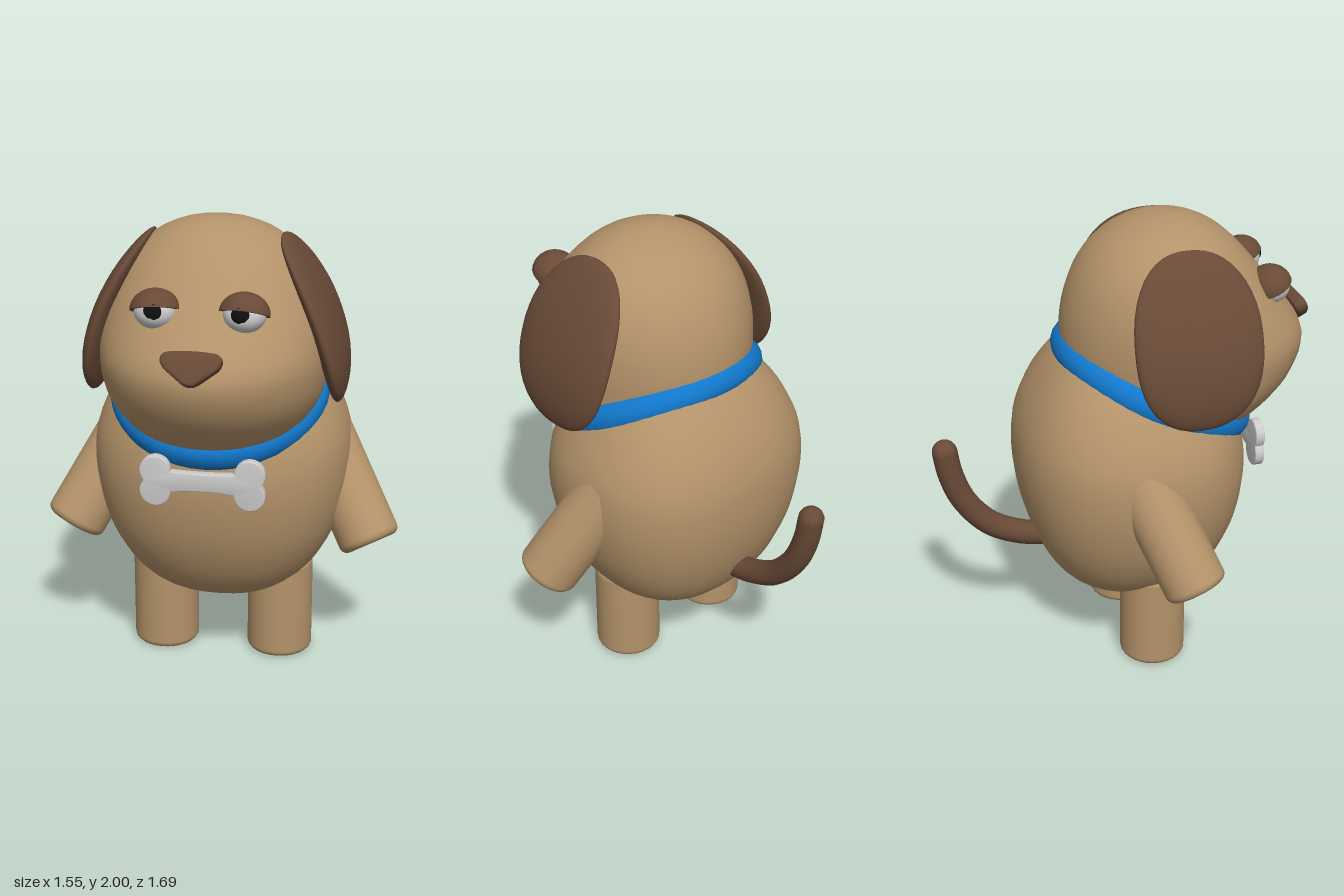
import * as THREE from 'three';
import { mergeVertices, toCreasedNormals } from 'three/addons/utils/BufferGeometryUtils.js';

const paint = (color) => new THREE.MeshStandardMaterial({ color });
const tan = paint(0xb4936a);
const brown = paint(0x694a37);
const blue = paint(0x1278cc);
const grey = paint(0xcccccc);
const white = paint(0xe8e8e8);
const black = paint(0x101010);

// Pushes a point of the unit circle out towards a rounded square
function squarer(u, v, power) {
  const k = Math.hypot(u, v) / ((Math.abs(u) ** power + Math.abs(v) ** power) ** (1 / power) || 1);
  return [u * k, v * k];
}

// Smooth closed form from rows of [y, front z, back z, half width], bottom to top
function loft(rows, power, steps = 33, sides = 40) {
  const size = new THREE.CatmullRomCurve3(rows.map(([y, f, b, w]) => new THREE.Vector3(w, y, (f - b) / 2)));
  const middle = new THREE.CatmullRomCurve3(rows.map(([y, f, b]) => new THREE.Vector3(0, y, (f + b) / 2)));
  const profile = Array.from({ length: steps + 1 }, (_, i) => new THREE.Vector2(1, i));
  let geo = new THREE.LatheGeometry(profile, sides);
  const p = geo.attributes.position;
  for (let i = 0; i < p.count; i++) {
    const t = Math.round(p.getY(i)) / steps;
    const s = size.getPoint(t);
    const [u, v] = squarer(p.getX(i), p.getZ(i), power);
    p.setXYZ(i, u * s.x, s.y, middle.getPoint(t).z + v * s.z);
  }
  geo.deleteAttribute('uv');
  geo.deleteAttribute('normal');
  geo = mergeVertices(geo, 1e-5);
  geo.computeVertexNormals();
  return geo;
}

// Cylinder along y with rounded rims, starting at y = 0
function roundedCylinder(radius, height, rim) {
  const pts = [new THREE.Vector2(0, 0)];
  for (let i = 0; i <= 5; i++) {
    const a = (i / 5) * Math.PI / 2;
    pts.push(new THREE.Vector2(radius - rim + rim * Math.sin(a), rim - rim * Math.cos(a)));
  }
  const top = pts.map((v) => new THREE.Vector2(v.x, height - v.y)).reverse();
  return new THREE.LatheGeometry([...pts, ...top], 28);
}

function extrude(shape, depth, bevel) {
  const geo = new THREE.ExtrudeGeometry(shape, {
    depth: depth - 2 * bevel, bevelThickness: bevel, bevelSize: bevel, bevelOffset: -bevel,
    bevelSegments: 3, curveSegments: 12,
  });
  geo.translate(0, 0, bevel - depth / 2);
  return toCreasedNormals(geo, 0.7);
}

export function createModel() {
  const model = new THREE.Group();
  const add = (name, geo, mat, x = 0, y = 0, z = 0, parent = model) => {
    const mesh = new THREE.Mesh(geo, mat);
    mesh.name = name;
    mesh.position.set(x, y, z);
    parent.add(mesh);
    return mesh;
  };

  // Barrel-shaped body and forward-leaning head
  add('body', loft([
    [0.26, 0.02, 0.02, 0], [0.28, 0.16, -0.12, 0.15], [0.35, 0.3, -0.25, 0.3],
    [0.45, 0.39, -0.345, 0.41], [0.6, 0.465, -0.415, 0.495], [0.75, 0.505, -0.455, 0.54],
    [0.9, 0.52, -0.472, 0.56], [1.05, 0.505, -0.465, 0.55], [1.2, 0.45, -0.42, 0.49],
    [1.35, 0.34, -0.335, 0.385], [1.45, 0.21, -0.24, 0.26], [1.53, 0, 0, 0],
  ], 2.35), tan);
  add('head', loft([
    [1.0, 0.2, 0.2, 0], [1.03, 0.4, 0.03, 0.2], [1.1, 0.55, -0.1, 0.33], [1.2, 0.67, -0.2, 0.41],
    [1.3, 0.75, -0.24, 0.455], [1.42, 0.795, -0.26, 0.472], [1.5, 0.78, -0.262, 0.472],
    [1.62, 0.695, -0.245, 0.455], [1.75, 0.59, -0.2, 0.41], [1.85, 0.505, -0.135, 0.345],
    [1.93, 0.415, -0.04, 0.25], [1.98, 0.31, 0.08, 0.135], [2.0, 0.2, 0.2, 0],
  ], 2), tan);

  // Wide collar band, tilted down at the front
  const ring = new THREE.TorusGeometry(0.42, 0.052, 14, 48);
  ring.rotateX(Math.PI / 2);
  const collar = add('collar', ring, blue, 0, 1.253, 0.135);
  collar.scale.set(1, 1.3, 1);
  collar.rotation.x = 0.46;

  // Bone-shaped tag
  const bone = new THREE.Shape();
  const lobe = 0.064, lx = 0.196, ly = 0.044, a = 0.758, PI = Math.PI;
  bone.moveTo(-lx + lobe, ly);
  bone.quadraticCurveTo(0, ly - 0.008, lx - lobe, ly);
  bone.absarc(lx, ly, lobe, PI, -a, true);
  bone.absarc(lx, -ly, lobe, a, -PI, true);
  bone.quadraticCurveTo(0, -ly + 0.016, -lx + lobe, -ly);
  bone.absarc(-lx, -ly, lobe, 0, -PI - a, true);
  bone.absarc(-lx, ly, lobe, a - PI, -2 * PI, true);
  add('boneTag', extrude(bone, 0.04, 0.004), grey, 0, 0.967, 0.56);

  // Rounded triangular nose
  const nose = new THREE.Shape();
  nose.moveTo(-0.09, 0.06);
  nose.quadraticCurveTo(0, 0.07, 0.09, 0.06);
  nose.bezierCurveTo(0.13, 0.055, 0.128, 0.015, 0.1, -0.01);
  nose.lineTo(0.035, -0.06);
  nose.quadraticCurveTo(0, -0.085, -0.035, -0.06);
  nose.lineTo(-0.1, -0.01);
  nose.bezierCurveTo(-0.128, 0.015, -0.13, 0.055, -0.09, 0.06);
  add('nose', extrude(nose, 0.056, 0.012), brown, 0, 1.525, 0.79).rotation.x = -0.5;

  // Upturned tail with a round tip
  const tailPath = new THREE.CatmullRomCurve3([
    [0.54, -0.36], [0.56, -0.46], [0.63, -0.6], [0.76, -0.71], [0.9, -0.765], [1.015, -0.785],
  ].map(([y, z]) => new THREE.Vector3(0, y, z)));
  add('tail', new THREE.TubeGeometry(tailPath, 28, 0.055, 16), brown);
  add('tailTip', new THREE.SphereGeometry(0.055, 16, 12), brown, 0, 1.015, -0.785);

  for (const s of [1, -1]) {
    const side = s > 0 ? 'left' : 'right';

    add(side + 'Leg', roundedCylinder(0.145, 0.45, 0.03), tan, s * 0.26, 0, 0.072);

    // Arm, built from the hand up into the shoulder
    const hand = new THREE.Vector3(s * 0.668, 0.562, 0.145);
    const along = new THREE.Vector3(s * 0.39, 1.06, -0.06).sub(hand);
    const arm = add(side + 'Arm', roundedCylinder(0.136, along.length(), 0.035), tan, ...hand);
    arm.quaternion.setFromUnitVectors(new THREE.Vector3(0, 1, 0), along.normalize());

    // Floppy ear: flat rounded disc bent around the head
    const ear = new THREE.SphereGeometry(1, 32, 24);
    const p = ear.attributes.position;
    for (let i = 0; i < p.count; i++) {
      const [t, v] = squarer(p.getY(i), p.getZ(i), 2.3);
      const bend = 0.455 - 0.122 * t - 0.06 * t * t;
      p.setXYZ(i, s * bend + p.getX(i) * 0.062, 1.585 + t * 0.345, 0.2 + v * 0.272);
    }
    ear.computeVertexNormals();
    add(side + 'Ear', ear, brown);

    // Eye with pupil and drooping lid
    const eye = new THREE.Group();
    eye.name = side + 'Eye';
    eye.position.set(s * 0.177, 1.695, 0.597);
    model.add(eye);
    add('eyeball', new THREE.SphereGeometry(0.086, 24, 18), white, 0, 0, 0, eye).scale.y = 0.85;
    const pupil = add('pupil', new THREE.SphereGeometry(0.036, 18, 12), black, s * -0.005, 0.016, 0.077, eye);
    pupil.scale.z = 0.35;
    const lid = new THREE.Group();
    lid.name = 'eyelid';
    lid.rotation.set(-0.4, 0, s * -0.06);
    lid.scale.set(1, 0.86, 0.95);
    eye.add(lid);
    add('lidDome', new THREE.SphereGeometry(0.102, 24, 10, 0, PI * 2, 0, PI / 2), brown, 0, 0, 0, lid);
    add('lidUnderside', new THREE.CircleGeometry(0.102, 24), brown, 0, 0, 0, lid).rotation.x = PI / 2;
  }
  return model;
}
